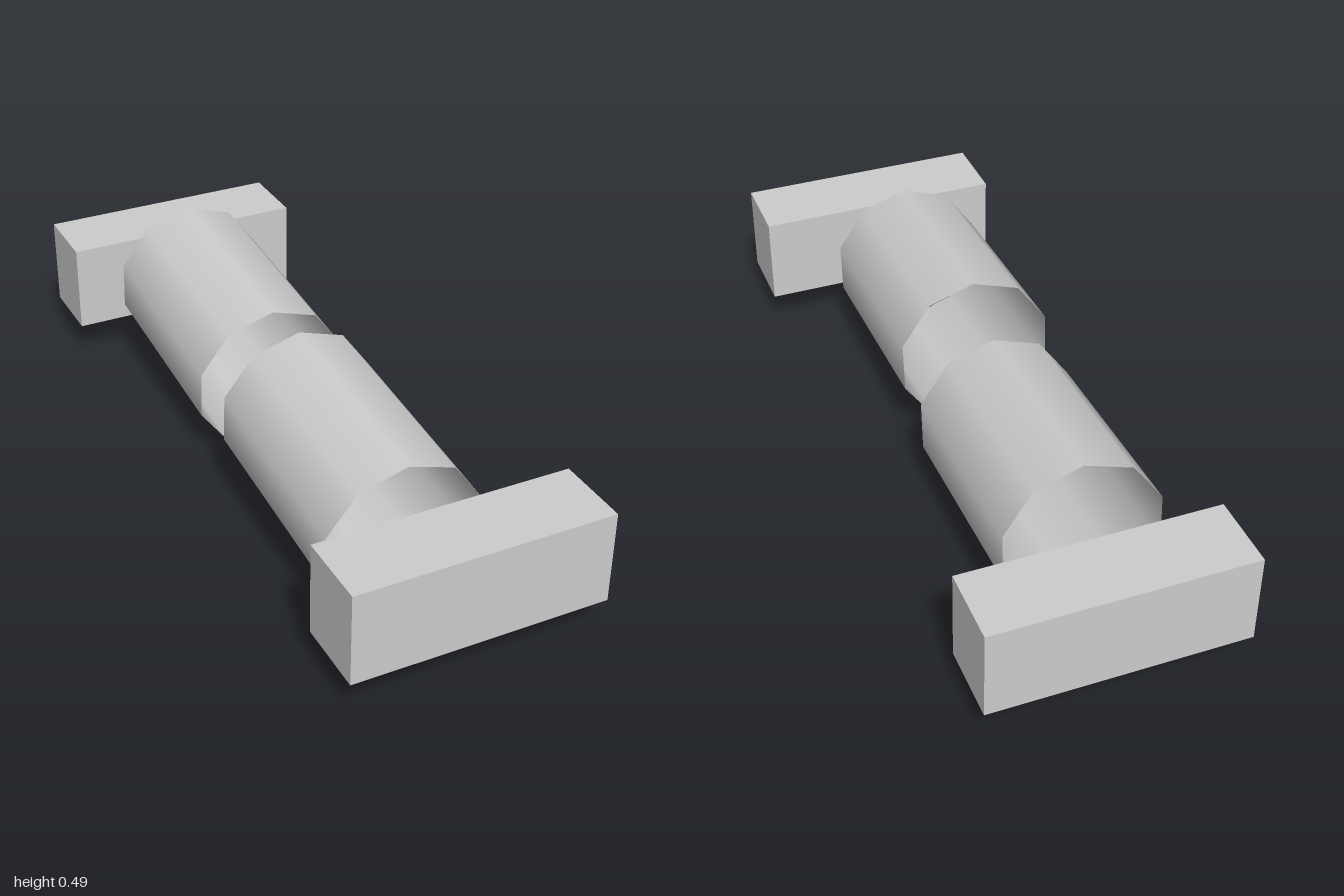
import * as THREE from 'three';

export function createModel() {
  const model = new THREE.Group();
  const grey = new THREE.MeshStandardMaterial({ color: 0xcccccc, side: THREE.DoubleSide });
  grey.name = 'light grey';

  // Solid bars across both ends
  const barGeometry = new THREE.BoxGeometry(0.695, 0.255, 0.206);
  for (const [name, side] of [['frontBar', 1], ['backBar', -1]]) {
    const bar = new THREE.Mesh(barGeometry, grey);
    bar.name = name;
    bar.position.set(0, 0.233, side * 0.897);
    model.add(bar);
  }

  // Open ten-sided tubes lying along z, each rising slightly towards the back
  const tubeGeometry = new THREE.CylinderGeometry(0.22, 0.22, 0.602, 10, 1, true);
  tubeGeometry.rotateX(-Math.PI / 2);
  for (const [name, x, z] of [['frontTube', -0.053, 0.403], ['backTube', -0.029, -0.397]]) {
    const tube = new THREE.Mesh(tubeGeometry, grey);
    tube.name = name;
    tube.position.set(x, 0.245, z);
    tube.rotation.set(0.078, -0.009, 0, 'YXZ');
    model.add(tube);
  }

  return model;
}
